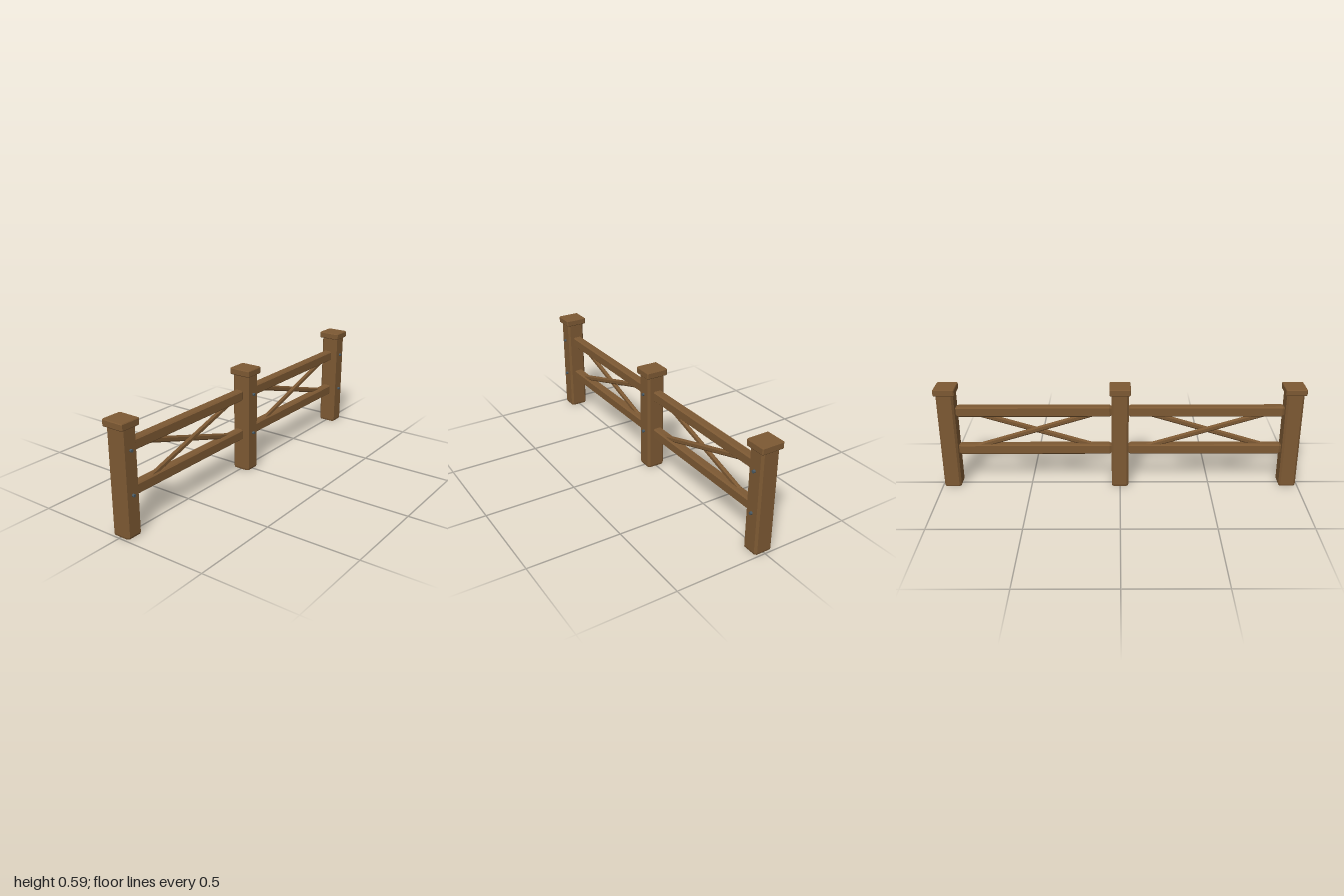
import * as THREE from 'three';

// Chamfered timber of section w x h, running along z and centred on the origin
function timber(w, h, length, chamfer, endDepth, endInset) {
  const x = w / 2, y = h / 2, c = chamfer;
  const section = new THREE.Shape([
    [x - c, -y], [x, -y + c], [x, y - c], [x - c, y],
    [-x + c, y], [-x, y - c], [-x, -y + c], [-x + c, -y],
  ].map(([a, b]) => new THREE.Vector2(a, b)));
  const geo = new THREE.ExtrudeGeometry(section, {
    depth: length - 2 * endDepth, bevelEnabled: true, bevelSegments: 1,
    bevelThickness: endDepth, bevelSize: endInset, bevelOffset: -endInset,
  });
  return geo.translate(0, 0, -length / 2 + endDepth);
}

export function createModel() {
  const wood = new THREE.MeshStandardMaterial({ color: 0x7d5933 });
  wood.name = 'brown wood';
  const steel = new THREE.MeshStandardMaterial({ color: 0x4a5a64 });
  steel.name = 'grey steel';

  const fence = new THREE.Group();
  fence.name = 'fence';
  const add = (name, geo, mat, x, y, z) => {
    const mesh = new THREE.Mesh(geo, mat);
    mesh.name = name;
    mesh.position.set(x, y, z);
    fence.add(mesh);
    return mesh;
  };

  const postGeo = timber(0.094, 0.102, 0.56, 0.011, 0.01, 0.003).rotateX(-Math.PI / 2);
  const capGeo = timber(0.115, 0.125, 0.036, 0.005, 0.004, 0.003).rotateX(-Math.PI / 2);
  const boltGeo = new THREE.CylinderGeometry(0.008, 0.008, 0.03, 8).toNonIndexed().rotateX(Math.PI / 2);
  boltGeo.computeVertexNormals();
  const railGeo = timber(0.049, 0.058, 0.852, 0.007, 0.014, 0.008).rotateY(Math.PI / 2);
  const braceGeo = timber(0.02, 0.03, 0.68, 0.007, 0.003, 0.002).rotateY(Math.PI / 2);

  // Posts with caps and front bolts
  for (const x of [-0.9425, 0, 0.9425]) {
    add('post', postGeo, wood, x, 0.28, 0);
    add('postCap', capGeo, wood, x, 0.57, 0);
    for (const y of [0.218, 0.443]) add('bolt', boltGeo, steel, x, y, 0.0475);
  }

  // Rails and crossed braces in each bay
  for (const x of [-0.471, 0.471]) {
    for (const y of [0.218, 0.444]) add('rail', railGeo, wood, x, y, 0);
    for (const side of [1, -1]) {
      add('crossBrace', braceGeo, wood, x, 0.331, side * 0.007).rotation.z = side * 0.295;
    }
  }
  return fence;
}
